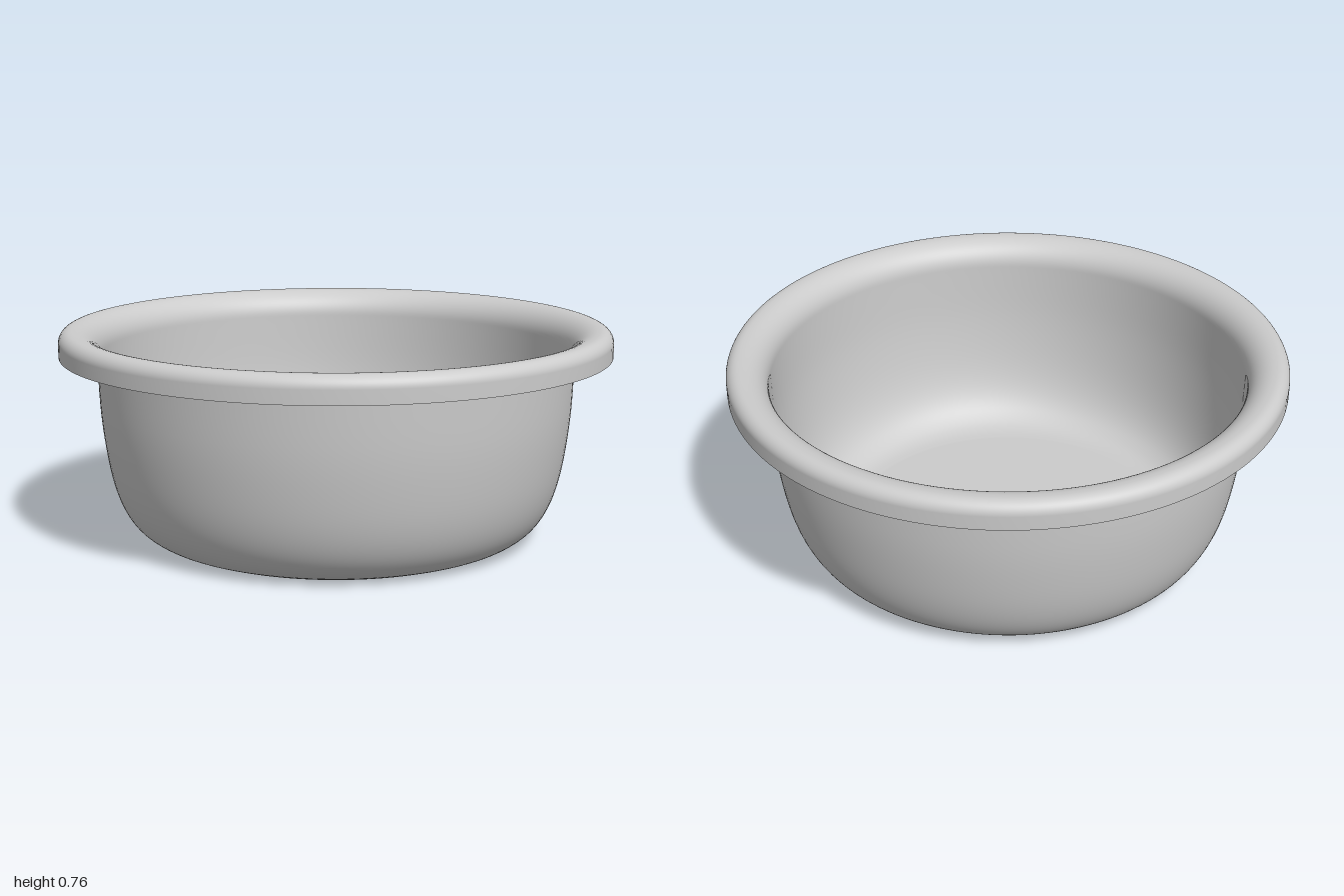
import * as THREE from 'three';

const SEGMENTS = 128;
const WALL = 0.01;

// Points on an arc, angles in degrees
function arc(cx, cy, r, from, to, n) {
  return Array.from({ length: n + 1 }, (_, i) => {
    const a = THREE.MathUtils.degToRad(from + ((to - from) * i) / n);
    return new THREE.Vector2(cx + r * Math.cos(a), cy + r * Math.sin(a));
  });
}

// Smooth curved wall from the foot up to the start of the rim
function wall(points) {
  return new THREE.SplineCurve(points.map(([x, y]) => new THREE.Vector2(x, y))).getPoints(32);
}

export function createModel() {
  const bowl = new THREE.Group();
  bowl.name = 'bowl';
  const material = new THREE.MeshStandardMaterial({ color: 0xcccccc, side: THREE.DoubleSide });

  // Each section is its own lathe, so creases stay sharp between them
  function section(name, points) {
    const mesh = new THREE.Mesh(new THREE.LatheGeometry(points, SEGMENTS), material);
    mesh.name = name;
    bowl.add(mesh);
  }

  const outerWall = wall([
    [0.645, 0], [0.7, 0.023], [0.75, 0.065], [0.79, 0.13],
    [0.82, 0.22], [0.842, 0.34], [0.857, 0.48], [0.864, 0.66],
  ]);
  const innerWall = wall([
    [0.6, 0.012], [0.65, 0.017], [0.695, 0.034], [0.743, 0.074], [0.781, 0.136],
    [0.81, 0.223], [0.832, 0.34], [0.847, 0.48], [0.854, 0.66],
  ]);

  // Rolled rim: wide inner curve, tight outer curve, straight skirt
  const rim = (offset) => [
    ...arc(0.952, 0.667, 0.098 - offset, 180, 90, 14),
    ...arc(0.957, 0.722, 0.043 - offset, 90, 0, 10),
    new THREE.Vector2(1 - offset, 0.672),
  ];

  section('base', [new THREE.Vector2(0, 0), new THREE.Vector2(0.645, 0)]);
  section('outerWall', [...outerWall, ...rim(WALL)]);
  section('rimEdge', [new THREE.Vector2(1 - WALL, 0.672), new THREE.Vector2(1, 0.672)]);
  section('innerWallAndRim', [...rim(0).reverse(), ...innerWall.reverse(), new THREE.Vector2(0, 0.012)]);

  return bowl;
}
